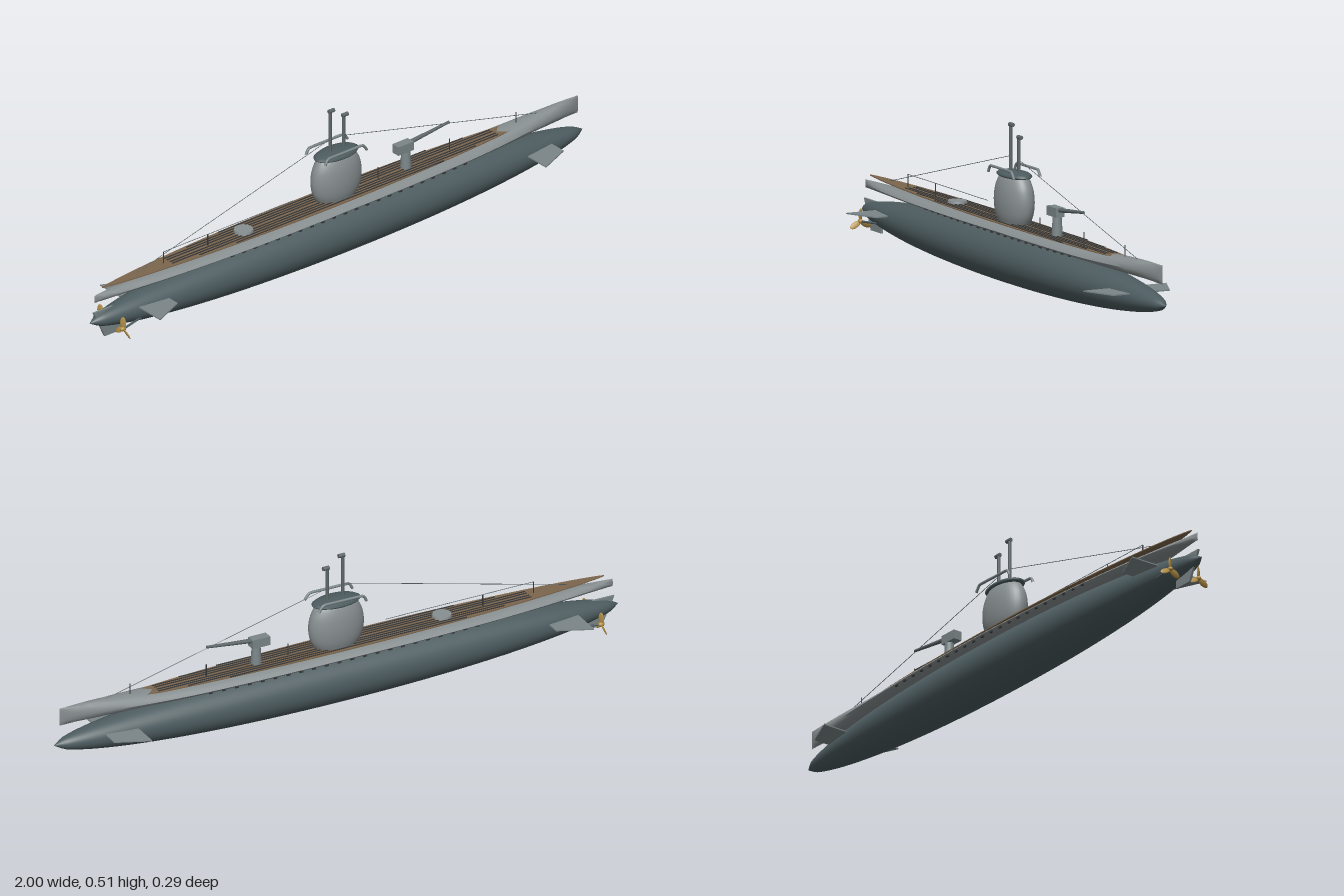
import * as THREE from 'three';
import { toCreasedNormals } from 'three/addons/utils/BufferGeometryUtils.js';

const mat = (name, color) => {
  const m = new THREE.MeshStandardMaterial({ color });
  m.name = name;
  return m;
};
const V = (x, y, z = 0) => new THREE.Vector3(x, y, z);

export function createModel() {
  const root = new THREE.Group();
  root.name = 'submarine';
  const hullMat = mat('dark hull grey', 0x4d5c60);
  const grey = mat('light grey', 0x888f91);
  const finMat = mat('fin grey', 0x7b8688);
  const wood = mat('deck wood', 0x7c664c);
  const dark = mat('dark slat', 0x36383a);
  const steel = mat('dark steel', 0x5f686a);
  const brass = mat('brass', 0xb08d45);

  const add = (name, geo, material, x = 0, y = 0, z = 0, parent = root) => {
    const m = new THREE.Mesh(geo, material);
    m.name = name;
    m.position.set(x, y, z);
    parent.add(m);
    return m;
  };
  // Straight round bar between two points
  const bar = (name, a, b, r, material, r2 = r, parent = root) => {
    const d = b.clone().sub(a);
    const m = add(name, new THREE.CylinderGeometry(r2, r, d.length(), 10), material, 0, 0, 0, parent);
    m.position.copy(a).add(b).multiplyScalar(0.5);
    m.quaternion.setFromUnitVectors(V(0, 1), d.normalize());
    return m;
  };

  // Pressure hull, revolved about the long axis
  const hullPts = [];
  for (let i = 0; i <= 56; i++) {
    const t = -Math.cos(Math.PI * i / 56);
    const a = Math.abs(t);
    const r = Math.min(Math.pow(Math.max(0, 1 - Math.pow(a, 2.1)), 0.57), (1 - a) * 6.5);
    hullPts.push(new THREE.Vector2(Math.max(r, 0), t));
  }
  const hullGeo = new THREE.LatheGeometry(hullPts, 48);
  hullGeo.rotateZ(-Math.PI / 2).scale(1, 0.084, 0.093);
  add('hull', hullGeo, hullMat, 0, 0.086, 0);

  // Upper casing: stern falls away, bow rises through the deck
  const width = (x) => 0.073 * Math.pow(Math.max(0, 1 - Math.pow(Math.abs(x) / 0.981, 2.3)), 0.8) + 0.0006;
  const topY = (x) => 0.193 + (x < 0 ? 0.016 * x : 0.019 * THREE.MathUtils.smoothstep(x, 0.5, 0.98));
  const bottomY = (x) => 0.158 - 0.007 * x * x;
  const half = [[0, 0], [0.55, 0.08], [0.88, 0.26], [1, 0.48], [0.9, 0.7], [0.7, 0.88], [0.45, 0.97], [0, 1]];
  const ring = [...half, ...half.slice(1, -1).reverse().map(([z, y]) => [-z, y])];
  const pos = [], idx = [], N = 48, R = ring.length;
  for (let i = 0; i <= N; i++) {
    const x = -0.98 * Math.cos(Math.PI * i / N);
    for (const [z, y] of ring) pos.push(x, THREE.MathUtils.lerp(bottomY(x), topY(x), y), z * width(x));
    if (i === N) break;
    for (let j = 0; j < R; j++) {
      const a = i * R + j, c = i * R + (j + 1) % R;
      idx.push(a, a + R, c, a + R, c + R, c);
    }
  }
  const casing = new THREE.BufferGeometry();
  casing.setAttribute('position', new THREE.Float32BufferAttribute(pos, 3));
  casing.setIndex(idx);
  add('casing', toCreasedNormals(casing, 0.7), grey);

  // Drain holes along the casing
  for (const s of [1, -1]) for (let i = 0; i < 22; i++) {
    const x = -0.47 + i * 0.045;
    add('drainHole', new THREE.BoxGeometry(0.012, 0.005, 0.005), dark, x, 0.168, s * (width(x) * 0.95));
  }

  // Wooden deck and its dark seams
  const deckW = (x) => 0.056 * Math.pow(Math.max(0, 1 - Math.pow(Math.abs(x + 0.06) / 0.89, 2)), 0.75);
  const side = [];
  for (let i = 0; i <= 32; i++) {
    const x = -0.06 - 0.89 * Math.cos(Math.PI * i / 32);
    side.push(new THREE.Vector2(x, deckW(x)));
  }
  const mirrored = side.slice(1, -1).reverse().map((p) => new THREE.Vector2(p.x, -p.y));
  const deckGeo = new THREE.ExtrudeGeometry(new THREE.Shape([...side, ...mirrored]), { depth: 0.003, bevelEnabled: false });
  deckGeo.rotateX(-Math.PI / 2);
  add('deck', deckGeo, wood, 0, 0.1945, 0);
  [[0.008, 0.66], [0.02, 0.66], [0.032, 0.56], [0.044, 0.42]].forEach(([z, l]) => {
    for (const s of [1, -1]) add('deckSeam', new THREE.BoxGeometry(l * 2, 0.003, 0.004), dark, -0.02, 0.198, s * z);
  });
  add('hatch', new THREE.CylinderGeometry(0.03, 0.032, 0.009, 28), grey, -0.375, 0.202, 0);

  // Conning tower
  const tower = new THREE.Group();
  tower.name = 'conningTower';
  root.add(tower);
  const prof = new THREE.SplineCurve([[0.07, 0.19], [0.088, 0.222], [0.095, 0.262], [0.09, 0.302], [0.076, 0.332], [0.06, 0.35]]
    .map((p) => new THREE.Vector2(...p))).getPoints(24);
  add('towerBody', new THREE.LatheGeometry(prof, 40).scale(1, 1, 0.545), grey, 0, 0, 0, tower);
  const cap = [[0.06, 0.338], [0.08, 0.343], [0.084, 0.348], [0.074, 0.354], [0.04, 0.36], [0, 0.362]]
    .map((p) => new THREE.Vector2(...p));
  add('bridgeDeck', new THREE.LatheGeometry(cap, 40).scale(1, 1, 0.54), hullMat, 0, 0, 0, tower);
  for (const s of [1, -1]) {
    const path = new THREE.CatmullRomCurve3([V(-0.083, 0.348, s * 0.047), V(-0.07, 0.368, s * 0.047),
      V(0, 0.369, s * 0.047), V(0.068, 0.369, s * 0.047), V(0.086, 0.348, s * 0.047)], false, 'catmullrom', 0.2);
    add('bridgeRail', new THREE.TubeGeometry(path, 30, 0.0045, 8), finMat, 0, 0, 0, tower);
  }

  // Periscopes with forward-facing heads
  for (const [x, h] of [[-0.024, 0.502], [0.031, 0.47]]) {
    bar('periscopeMast', V(x, 0.35), V(x, h), 0.0055, steel);
    bar('periscopeHead', V(x - 0.006, h), V(x + 0.016, h), 0.0068, steel);
  }

  // Deck gun
  const gun = new THREE.Group();
  gun.name = 'deckGun';
  root.add(gun);
  add('gunPedestal', new THREE.CylinderGeometry(0.014, 0.018, 0.066, 20), finMat, 0.283, 0.228, 0, gun);
  add('gunBreech', new THREE.BoxGeometry(0.062, 0.03, 0.03), finMat, 0.272, 0.273, 0, gun);
  bar('gunBarrel', V(0.295, 0.28), V(0.458, 0.298), 0.0075, steel, 0.0045, gun);

  // Diving planes fore and aft
  const plate = (pts, t) => {
    const g = new THREE.ExtrudeGeometry(new THREE.Shape(pts.map((p) => new THREE.Vector2(...p))), { depth: t, bevelEnabled: false });
    return g.translate(0, 0, -t / 2);
  };
  for (const x of [0.73, -0.835]) for (const s of [1, -1]) {
    const g = plate([[0, s * 0.02], [0.11, s * 0.02], [0.11, s * 0.1], [0, s * 0.147]], 0.004);
    add('divingPlane', g.rotateX(Math.PI / 2), finMat, x, 0.104, 0);
  }
  add('rudder', plate([[-0.985, 0.118], [-0.94, 0.022], [-0.873, 0.022], [-0.873, 0.118]], 0.007), finMat);

  // Twin propellers
  for (const s of [1, -1]) {
    const prop = new THREE.Group();
    prop.name = 'propeller';
    prop.position.set(-0.91, 0.06, s * 0.056);
    root.add(prop);
    bar('propellerShaft', V(-0.905, 0.06, s * 0.056), V(-0.82, 0.065, s * 0.04), 0.0035, hullMat);
    const hub = add('propellerHub', new THREE.SphereGeometry(0.008, 16, 10), brass, 0, 0, 0, prop);
    hub.scale.x = 1.4;
    for (let i = 0; i < 3; i++) {
      const holder = new THREE.Group();
      holder.name = 'bladeHolder';
      holder.rotation.x = i * Math.PI * 2 / 3;
      prop.add(holder);
      const blade = add('propellerBlade', new THREE.SphereGeometry(1, 14, 10), brass, 0, 0.021, 0, holder);
      blade.scale.set(0.003, 0.02, 0.01);
      blade.rotation.y = 0.5;
    }
  }

  // Jumping wires, aerial and deck posts
  bar('aftWire', V(-0.82, 0.197), V(-0.024, 0.403), 0.001, steel);
  bar('foreWire', V(0.031, 0.398), V(0.82, 0.205), 0.001, steel);
  bar('aerialWire', V(-0.7, 0.237), V(-0.175, 0.237), 0.001, steel);
  for (const x of [-0.7, -0.52, 0.17, 0.46, 0.73]) bar('deckPost', V(x, 0.19), V(x, 0.237), 0.002, dark);
  return root;
}
